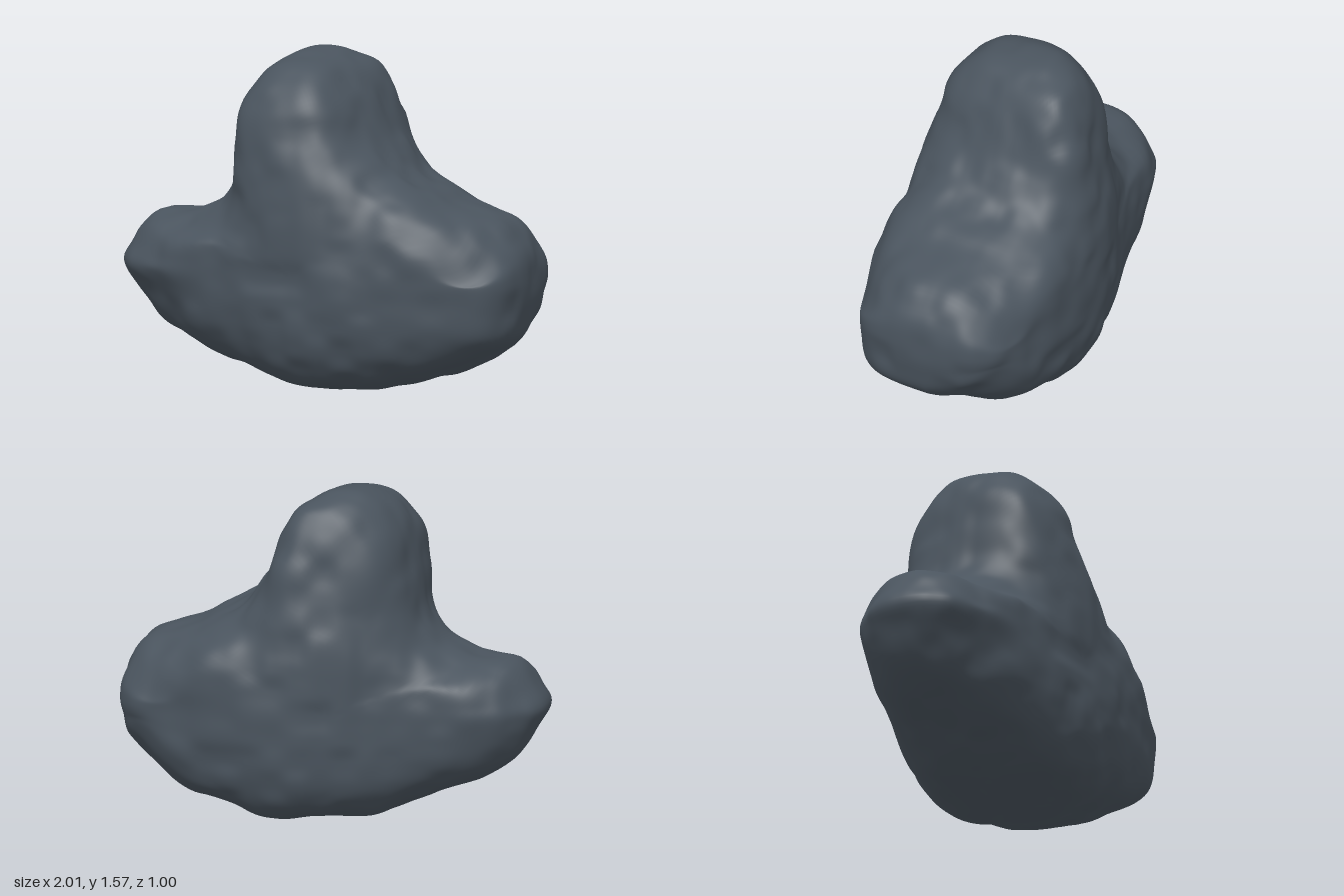
import * as THREE from 'three';
import { mergeVertices } from 'three/addons/utils/BufferGeometryUtils.js';

const CX = -0.03, CY = 0.56;

// Front outline of the boulder, counter-clockwise from the right end
const OUTLINE = [
  [1, 0.55], [0.98, 0.68], [0.88, 0.82], [0.6, 0.92], [0.43, 1.0], [0.3, 1.16], [0.17, 1.41],
  [0.07, 1.52], [-0.1, 1.56], [-0.22, 1.53], [-0.32, 1.42], [-0.37, 1.2], [-0.41, 1.0],
  [-0.5, 0.87], [-0.65, 0.8], [-0.85, 0.78], [-0.95, 0.66], [-1, 0.56], [-0.93, 0.43],
  [-0.8, 0.28], [-0.6, 0.18], [-0.4, 0.11], [-0.2, 0.04], [0, 0.01], [0.3, 0.02],
  [0.6, 0.09], [0.85, 0.2], [0.96, 0.28], [0.99, 0.42],
];

// Lookup of outline radius by angle
function makeRadius() {
  const curve = new THREE.CatmullRomCurve3(
    OUTLINE.map(([x, y]) => new THREE.Vector3(x - CX, y - CY, 0)), true);
  const polar = curve.getPoints(600).slice(0, -1)
    .map(p => [Math.atan2(p.y, p.x), Math.hypot(p.x, p.y)])
    .sort((a, b) => a[0] - b[0]);
  const first = polar[0], last = polar[polar.length - 1];
  polar.unshift([last[0] - 2 * Math.PI, last[1]]);
  polar.push([first[0] + 2 * Math.PI, first[1]]);
  return angle => {
    let i = 1;
    while (i < polar.length - 1 && polar[i][0] < angle) i++;
    const [a0, r0] = polar[i - 1], [a1, r1] = polar[i];
    return r0 + (r1 - r0) * (angle - a0) / Math.max(a1 - a0, 1e-6);
  };
}

// Smooth value noise on a hashed lattice, -1 to 1
function hash(x, y, z) {
  let h = Math.imul(x, 374761393) ^ Math.imul(y, 668265263) ^ Math.imul(z, 1274126177);
  h = Math.imul(h ^ (h >>> 13), 1103515245);
  return ((h ^ (h >>> 16)) >>> 0) / 2147483648 - 1;
}
function noise(x, y, z) {
  const ix = Math.floor(x), iy = Math.floor(y), iz = Math.floor(z);
  const ease = t => t * t * t * (t * (t * 6 - 15) + 10);
  const u = ease(x - ix), v = ease(y - iy), w = ease(z - iz);
  let sum = 0;
  for (let i = 0; i < 2; i++) for (let j = 0; j < 2; j++) for (let k = 0; k < 2; k++) {
    sum += hash(ix + i, iy + j, iz + k) * (i ? u : 1 - u) * (j ? v : 1 - v) * (k ? w : 1 - w);
  }
  return sum;
}

// rise goes 0 to 1 between lo and hi, fall goes 1 to 0
const rise = THREE.MathUtils.smoothstep;
const fall = (t, lo, hi) => 1 - rise(t, lo, hi);

export function createModel() {
  const stone = new THREE.MeshStandardMaterial({ color: 0x4a545e });
  stone.name = 'slateGrey';

  let geometry = new THREE.IcosahedronGeometry(1, 48);
  geometry.deleteAttribute('normal');
  geometry.deleteAttribute('uv');
  geometry = mergeVertices(geometry, 1e-5);

  // Swell the sphere into the outline, with a boxy rounded depth
  const radius = makeRadius();
  const pos = geometry.attributes.position;
  for (let i = 0; i < pos.count; i++) {
    const a = pos.getX(i), b = pos.getY(i), c = pos.getZ(i);
    const rho = Math.hypot(a, b), angle = Math.atan2(b, a);
    // Boxier peak, underside and right end, rounder left end
    const n = 3.5 + 0.5 * rise(a, 0.3, 0.9) - 0.8 * fall(a, -0.9, -0.3);
    const len = Math.pow(Math.pow(rho, n) + Math.pow(Math.abs(c), n), 1 / n);
    const r = radius(angle) * rho / len;
    let x = CX + r * Math.cos(angle);
    let y = CY + r * Math.sin(angle);

    // Thinner left lobe and slimmer peak, front and back shaped apart
    const reach = c > 0
      ? 0.40 + 0.09 * rise(x, -0.6, 0.15)
      : 0.37 + 0.125 * rise(x, -0.5, 0.25) - 0.04 * rise(x, 0.25, 0.7);
    let z = reach * (1 - 0.07 * rise(y, 0.75, 1.15)) * c / len;

    // Hollow under the front of the left lobe
    if (z > 0) z *= 1 - 0.22 * fall(x, -0.8, -0.45) * fall(y, 0.3, 0.55);
    // Both lobes arch over from front to back
    const arch = 1.0 * fall(x, -0.8, -0.45) + 1.2 * rise(x, 0.5, 0.9);
    y -= arch * z * z * rise(y, 0.5, 0.8);
    // Lower back corner of the right lobe cut away
    y += 0.45 * Math.max(0, -z) * rise(x, 0.6, 0.95) * fall(y, 0.25, 0.55);
    // Peak twists to the right and climbs towards the back
    x -= 0.16 * z * rise(y, 0.85, 1.3);
    y -= 0.12 * z * rise(y, 1.2, 1.5);
    pos.setXYZ(i, x, y, z);
  }

  // Weathered lumps along the surface normal
  geometry.computeVertexNormals();
  const nor = geometry.attributes.normal;
  for (let i = 0; i < pos.count; i++) {
    const x = pos.getX(i), y = pos.getY(i), z = pos.getZ(i);
    const d = 0.014 * noise(x * 4 + 7, y * 4 + 3, z * 4 + 5)
      + 0.009 * noise(x * 9, y * 9 + 11, z * 9 + 2);
    pos.setXYZ(i, x + nor.getX(i) * d, y + nor.getY(i) * d, z + nor.getZ(i) * d);
  }

  // Centre it and stand it on the ground
  geometry.computeBoundingBox();
  const mid = geometry.boundingBox.getCenter(new THREE.Vector3());
  geometry.translate(-mid.x, -geometry.boundingBox.min.y, -mid.z);
  geometry.computeVertexNormals();

  const boulder = new THREE.Mesh(geometry, stone);
  boulder.name = 'boulder';
  const group = new THREE.Group();
  group.name = 'rock';
  group.add(boulder);
  return group;
}
